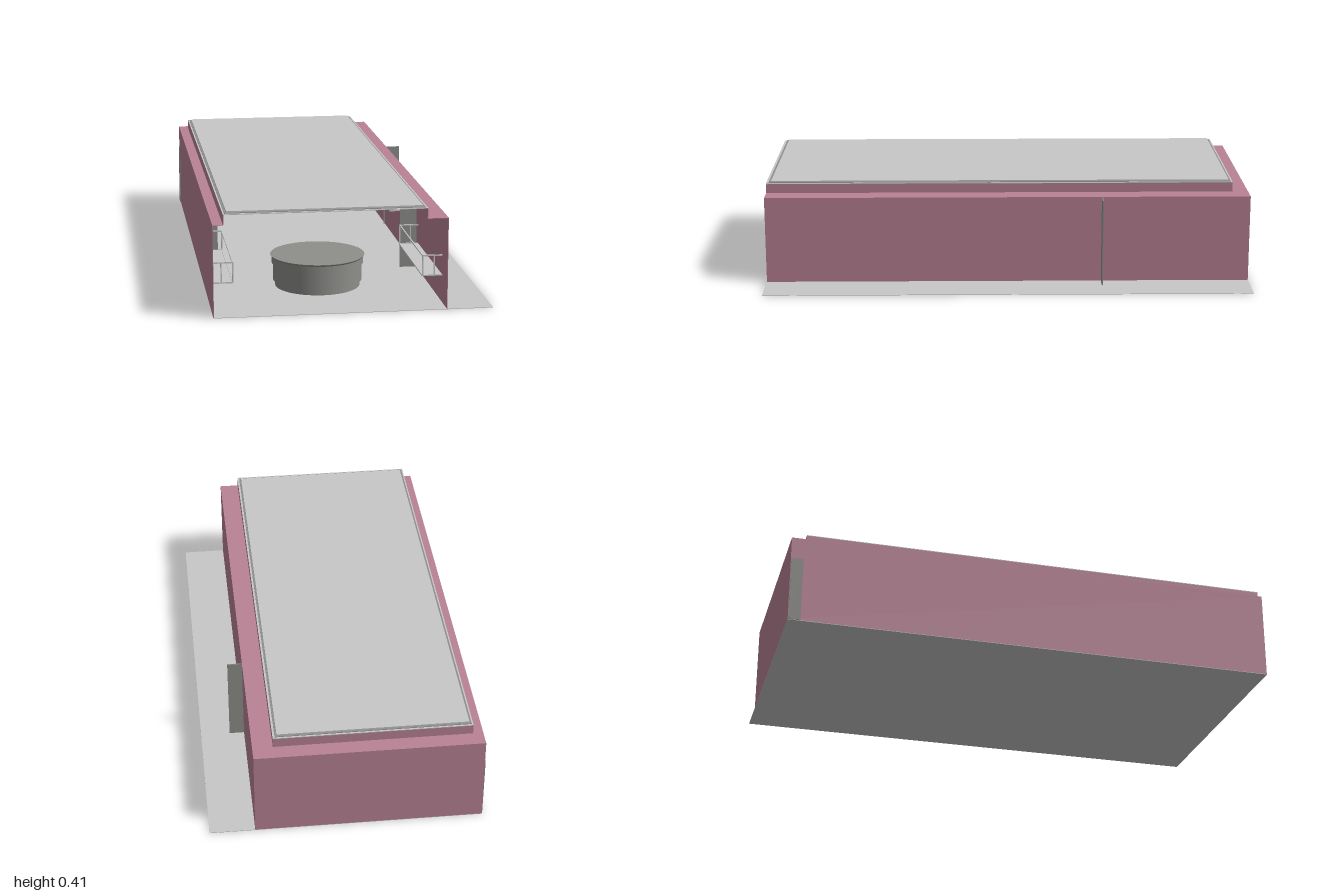
import * as THREE from 'three';

const mat = (name, color, side = THREE.FrontSide) => {
  const m = new THREE.MeshStandardMaterial({ color, side });
  m.name = name;
  return m;
};

export function createModel() {
  const pink = mat('pink wall', 0xb98395, THREE.DoubleSide);
  const light = mat('light grey', 0xc8c8c8);
  const grey = mat('mid grey', 0x8e8e8b);
  const dark = mat('dark screen', 0x404040);
  const model = new THREE.Group();
  model.name = 'room';

  // Box given by its limits on each axis
  const box = (name, material, x0, x1, y0, y1, z0, z1, parent = model) => {
    const mesh = new THREE.Mesh(new THREE.BoxGeometry(x1 - x0, y1 - y0, z1 - z0), material);
    mesh.position.set((x0 + x1) / 2, (y0 + y1) / 2, (z0 + z1) / 2);
    mesh.name = name;
    parent.add(mesh);
    return mesh;
  };
  const T = 0.002;
  const MID = -0.09; // middle of the room between the side walls

  // Floor, wider than the room on its left
  box('floor', light, -0.54, 0.54, 0, T, -1, 1);

  // Thin outer walls, open at the front
  box('rightWall', pink, -0.54, -0.54 + T, T, 0.362, -1, 1);
  box('leftWall', pink, 0.36 - T, 0.36, T, 0.362, -1, 1);
  box('backWall', pink, -0.54, 0.36, T, 0.362, -1, -1 + T);

  // Ledge around the raised ceiling
  box('rightLedge', pink, -0.54, -0.5, 0.36, 0.362, -1, 1);
  box('leftLedge', pink, 0.28, 0.36, 0.36, 0.362, -1, 1);
  box('backLedge', pink, -0.5, 0.28, 0.36, 0.362, -1, -0.935);

  // Raised ceiling sides
  box('rightUpstand', pink, -0.5, -0.5 + T, 0.362, 0.4, -0.935, 1);
  box('leftUpstand', pink, 0.28 - T, 0.28, 0.362, 0.4, -0.935, 1);
  box('backUpstand', pink, -0.5, 0.28, 0.362, 0.4, -0.935, -0.935 + T);

  // Ceiling panel with a narrow dark joint at its edge
  box('ceilingEdge', light, -0.5, 0.28, 0.4, 0.403, -0.935, 1);
  box('ceilingJoint', grey, -0.494, 0.272, 0.403, 0.405, -0.928, 0.99);
  box('ceilingPanel', light, -0.486, 0.264, 0.403, 0.41, -0.92, 0.98);

  // Ceiling lights
  for (const x of [-0.42, 0.2]) {
    for (const z of [0.87, 0.34, -0.2, -0.75]) {
      const lamp = new THREE.Mesh(new THREE.CylinderGeometry(0.016, 0.014, 0.006, 20), grey);
      lamp.position.set(x, 0.398, z);
      lamp.name = 'ceilingLight';
      model.add(lamp);
    }
  }

  // Panel and screen on the back wall
  box('screenPanel', grey, -0.305, 0.13, T, 0.4, -0.932, -0.915);
  box('screen', dark, -0.255, 0.086, 0.125, 0.33, -0.915, -0.907);
  box('screenTop', dark, -0.26, 0.09, 0.327, 0.332, -0.915, -0.903);

  // Round tub with a stepped side
  const profile = [
    [0, 0.002], [0.17, 0.002], [0.17, 0.025], [0.178, 0.025], [0.178, 0.096],
    [0.184, 0.096], [0.184, 0.122], [0.189, 0.128], [0.189, 0.13], [0, 0.13],
  ];
  const tub = new THREE.Group();
  tub.name = 'tub';
  tub.position.set(-0.087, 0, 0.58);
  for (let i = 0; i < profile.length - 1; i++) {
    const pts = [profile[i], profile[i + 1]].map(p => new THREE.Vector2(...p));
    const ring = new THREE.Mesh(new THREE.LatheGeometry(pts, 48), grey);
    ring.name = 'tubBand';
    tub.add(ring);
  }
  model.add(tub);

  // Wall rack: two end frames joined by long rails and a shelf
  const rack = (side, y0, y1, z0, z1) => {
    const g = new THREE.Group();
    g.name = 'wallRack';
    const b = 0.005;
    const span = (a, c) => side < 0 ? [MID - c, MID - a] : [MID + a, MID + c];
    const inner = span(0.365, 0.365 + b), outer = span(0.41, 0.41 + b), arm = span(0.365, 0.445);
    for (const z of [z0, z1 - b]) {
      box('rackUpright', light, ...inner, y0, y1, z, z + b, g);
      box('rackUpright', light, ...outer, y0, y1, z, z + b, g);
      box('rackArm', light, ...arm, y0, y0 + b, z, z + b, g);
      box('rackArm', light, ...arm, y1 - b, y1, z, z + b, g);
    }
    box('rackRail', light, ...inner, y1 - b, y1, z0, z1, g);
    box('rackRail', light, ...inner, y0, y0 + b, z0, z1, g);
    box('rackShelf', light, ...arm, y0, y0 + 0.003, z0, z1, g);
    model.add(g);
  };
  for (const side of [-1, 1]) {
    rack(side, 0.113, 0.197, 0.42, 0.92);
    rack(side, 0.2, 0.287, -0.3, 0.2);
  }

  // Posts against the side walls
  box('rightPost', grey, -0.538, -0.47, T, 0.36, 0.365, 0.37);
  box('rightRearPost', grey, -0.538, -0.505, T, 0.36, -0.39, -0.385);
  box('leftPost', grey, 0.288, 0.358, T, 0.36, 0.365, 0.37);
  box('outerPost', grey, 0.352, 0.42, T, 0.36, -0.392, -0.387);
  box('rearCornerStrip', grey, -0.543, -0.54, T, 0.27, -0.998, -0.95);

  return model;
}
